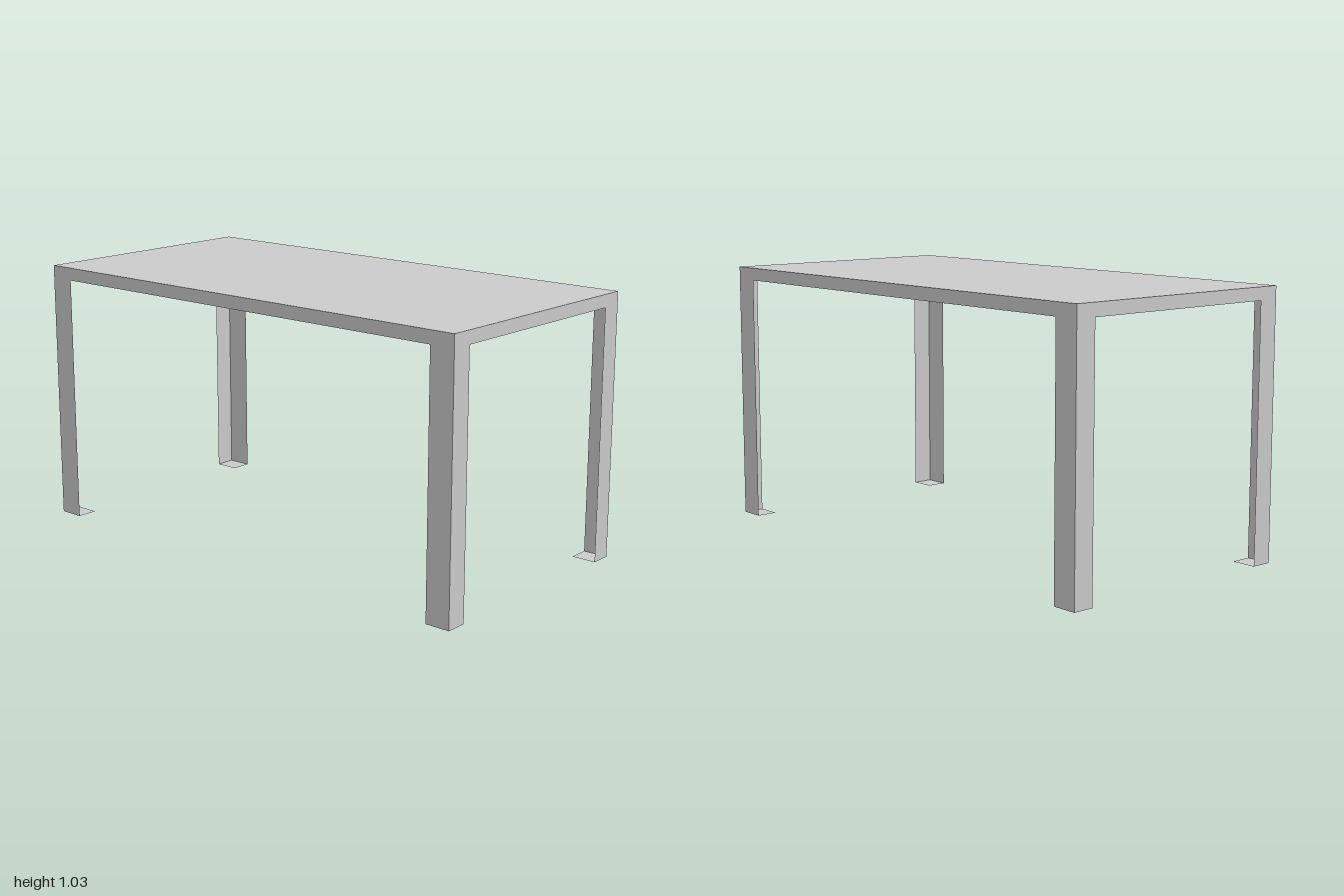
import * as THREE from 'three';

const HALF_X = 1, HALF_Z = 0.5, HEIGHT = 1.033, APRON = 0.05;
const LEG_X = 0.1, LEG_Z = 0.084;

// Flat side sheet: an apron strip with half of an angle leg at each end
function sideSheet(half, leg) {
  const inner = half - leg, under = HEIGHT - APRON;
  const points = [
    [-half, 0], [-inner, 0], [-inner, under], [inner, under],
    [inner, 0], [half, 0], [half, HEIGHT], [-half, HEIGHT],
  ].map(([x, y]) => new THREE.Vector2(x, y));
  return new THREE.ShapeGeometry(new THREE.Shape(points));
}

export function createModel() {
  const table = new THREE.Group();
  table.name = 'table';
  const material = new THREE.MeshStandardMaterial({
    color: 0xcccccc, flatShading: true, side: THREE.DoubleSide,
  });
  const add = (name, geometry) => {
    const mesh = new THREE.Mesh(geometry, material);
    mesh.name = name;
    table.add(mesh);
    return mesh;
  };

  // Thin top
  add('tableTop', new THREE.PlaneGeometry(2 * HALF_X, 2 * HALF_Z)
    .rotateX(-Math.PI / 2).translate(0, HEIGHT, 0));

  // Four side sheets, which meet at the corners as L-shaped legs
  for (const s of [1, -1]) {
    add(s > 0 ? 'frontSheet' : 'backSheet', sideSheet(HALF_X, LEG_X)
      .translate(0, 0, HALF_Z).rotateY(s > 0 ? 0 : Math.PI));
    add(s > 0 ? 'leftSheet' : 'rightSheet', sideSheet(HALF_Z, LEG_Z)
      .translate(0, 0, HALF_X).rotateY(s * Math.PI / 2));
  }

  // Foot plate under each leg
  for (const x of [1, -1]) {
    for (const z of [1, -1]) {
      const name = (z > 0 ? 'front' : 'back') + (x > 0 ? 'Left' : 'Right') + 'FootPlate';
      add(name, new THREE.PlaneGeometry(LEG_X, LEG_Z).rotateX(Math.PI / 2))
        .position.set(x * (HALF_X - LEG_X / 2), 0, z * (HALF_Z - LEG_Z / 2));
    }
  }
  return table;
}
